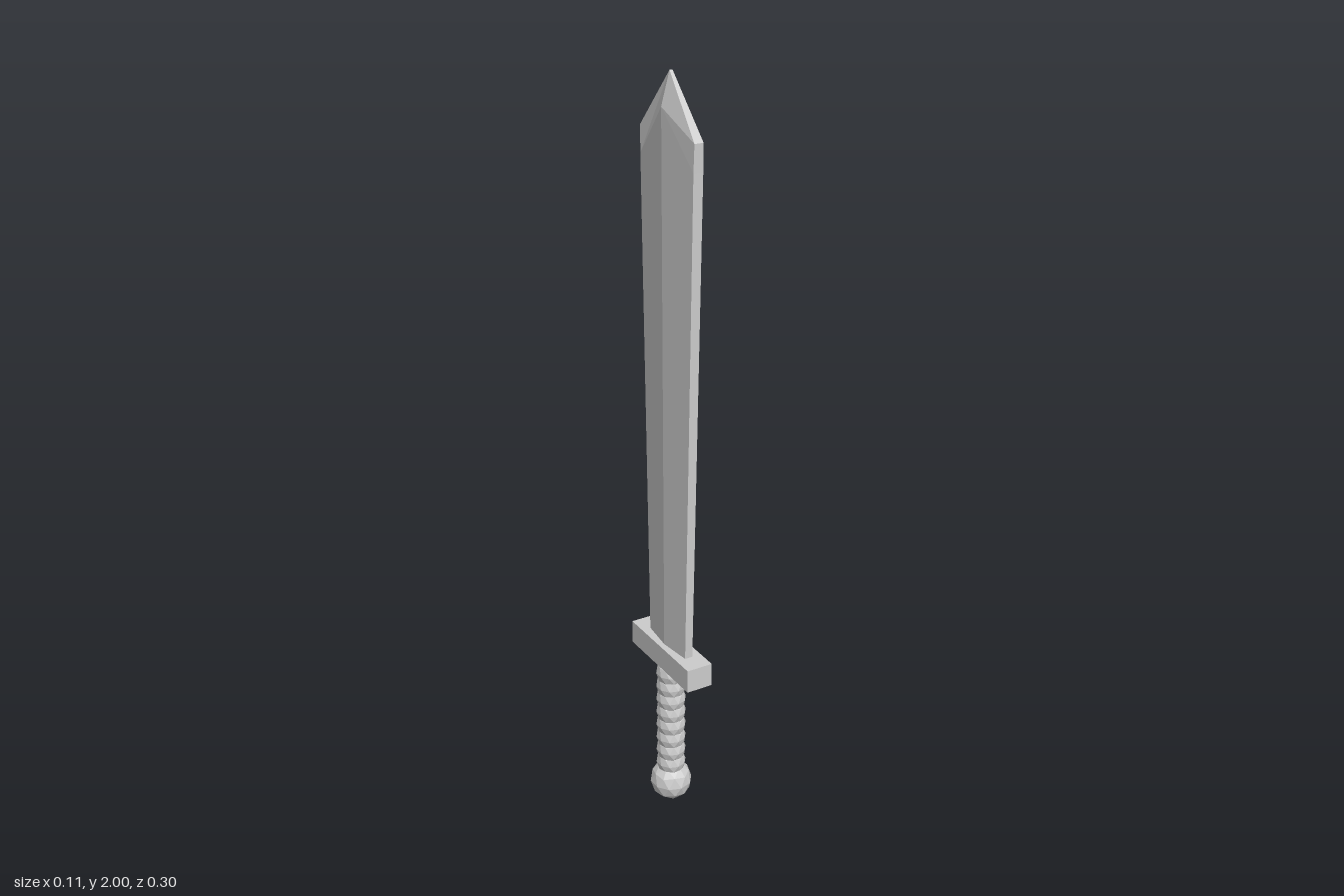
import * as THREE from 'three';

const material = new THREE.MeshStandardMaterial({ color: 0xcccccc, flatShading: true });

function addMesh(parent, name, geometry, y = 0) {
  const mesh = new THREE.Mesh(geometry, material);
  mesh.name = name;
  mesh.position.y = y;
  parent.add(mesh);
  return mesh;
}

// Low-poly ball with a vertex pointing straight up
function ball(radius) {
  return new THREE.IcosahedronGeometry(radius, 1)
    .rotateX(-Math.atan((1 + Math.sqrt(5)) / 2))
    .rotateY(Math.PI / 2);
}

// Six-sided blade: a ridge on each face, blunt edges, bevelled point
function bladeGeometry() {
  const sections = [
    { ridgeY: 0.49, edgeY: 0.49, ridgeX: 0.021, edgeX: 0.011, edgeZ: 0.092 },
    { ridgeY: 1.92, edgeY: 1.79, ridgeX: 0.026, edgeX: 0.013, edgeZ: 0.122 },
    { ridgeY: 2.0, edgeY: 1.857, ridgeX: 0.004, edgeX: 0.012, edgeZ: 0.124 },
  ];
  const positions = [];
  const index = [];
  for (const s of sections) {
    positions.push(
      s.ridgeX, s.ridgeY, 0, s.edgeX, s.edgeY, s.edgeZ, -s.edgeX, s.edgeY, s.edgeZ,
      -s.ridgeX, s.ridgeY, 0, -s.edgeX, s.edgeY, -s.edgeZ, s.edgeX, s.edgeY, -s.edgeZ,
    );
  }
  for (let r = 0; r < sections.length - 1; r++) {
    for (let i = 0; i < 6; i++) {
      const a = r * 6 + i;
      const b = r * 6 + ((i + 1) % 6);
      index.push(a, a + 6, b, b, a + 6, b + 6);
    }
  }
  // Sloping top of the point, then the base
  index.push(12, 14, 13, 12, 15, 14, 15, 17, 16, 15, 12, 17);
  index.push(0, 1, 2, 0, 2, 3, 3, 4, 5, 3, 5, 0);

  const geometry = new THREE.BufferGeometry();
  geometry.setAttribute('position', new THREE.Float32BufferAttribute(positions, 3));
  geometry.setIndex(index);
  const flat = geometry.toNonIndexed();
  flat.computeVertexNormals();
  return flat;
}

export function createModel() {
  const sword = new THREE.Group();
  sword.name = 'sword';

  addMesh(sword, 'blade', bladeGeometry());
  addMesh(sword, 'guard', new THREE.BoxGeometry(0.073, 0.065, 0.296), 0.467);

  // Grip of overlapping beads
  const grip = new THREE.Group();
  grip.name = 'grip';
  const bead = ball(0.041);
  for (let i = 0; i < 8; i++) addMesh(grip, 'gripBead', bead, 0.12 + i * 0.041);
  sword.add(grip);

  addMesh(sword, 'pommel', ball(0.058), 0.058);
  return sword;
}
